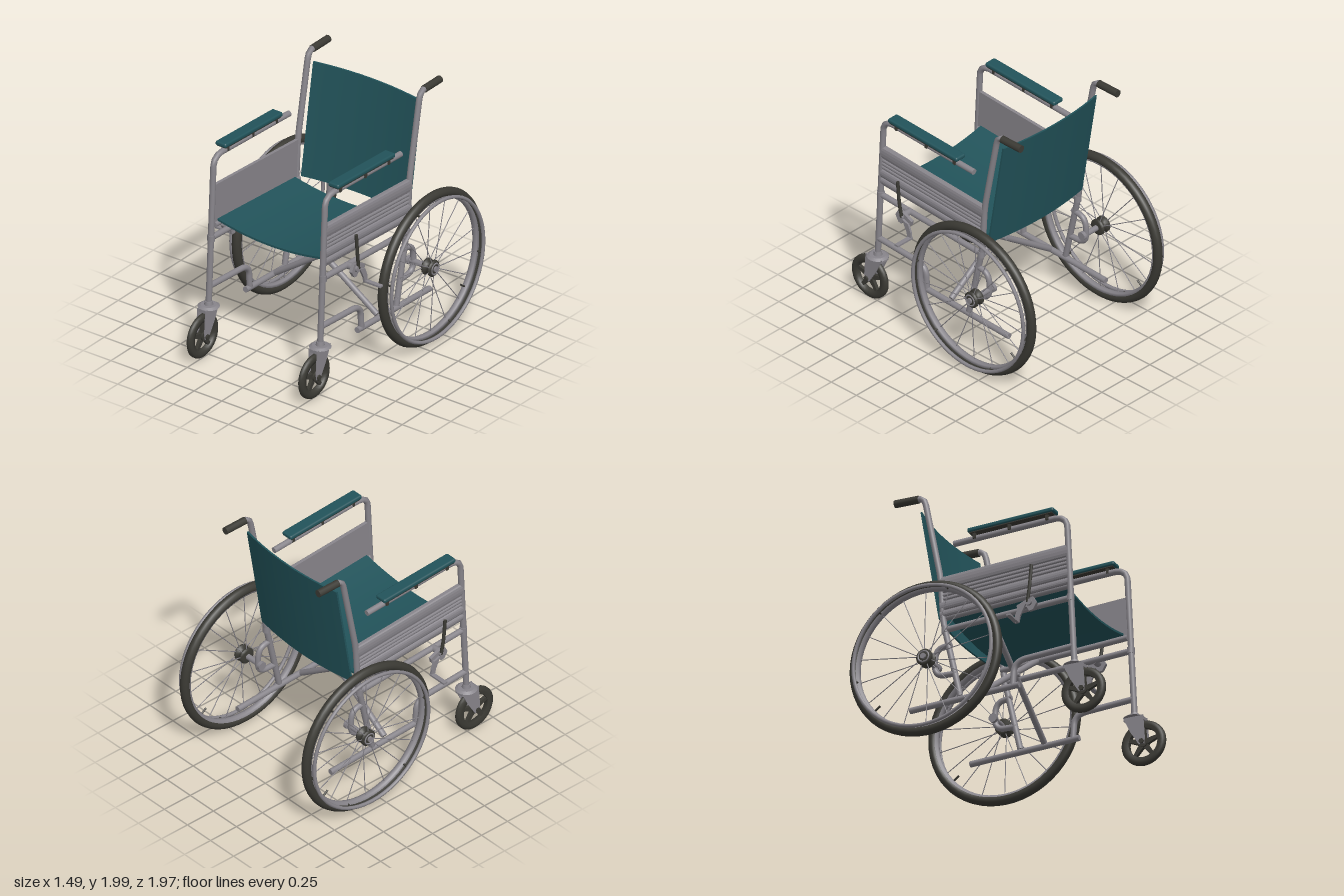
import * as THREE from 'three';
import { mergeGeometries } from 'three/addons/utils/BufferGeometryUtils.js';
import { RoundedBoxGeometry } from 'three/addons/geometries/RoundedBoxGeometry.js';

const material = (name, color) => Object.assign(new THREE.MeshStandardMaterial({ color }), { name });
const V = (x, y, z) => new THREE.Vector3(x, y, z);

export function createModel() {
  const model = new THREE.Group();
  model.name = 'wheelchair';
  const steel = material('steel grey', 0x88858b);
  const vinyl = material('teal vinyl', 0x22535a);
  const rubber = material('dark rubber', 0x3b3a34);

  const add = (name, geometry, mat, parent = model) => {
    const mesh = new THREE.Mesh(geometry, mat);
    mesh.name = name;
    parent.add(mesh);
    return mesh;
  };

  // Capped tube through points, with rounded corners
  function tube(points, radius = 0.023, bend = 0.06, sides = 12) {
    const path = new THREE.CurvePath();
    let from = points[0];
    for (let i = 1; i < points.length - 1; i++) {
      const p = points[i];
      const toward = (q) => {
        const d = q.clone().sub(p);
        return p.clone().add(d.setLength(Math.min(bend, d.length() * 0.45)));
      };
      const a = toward(points[i - 1]), b = toward(points[i + 1]);
      path.add(new THREE.LineCurve3(from, a));
      path.add(new THREE.QuadraticBezierCurve3(a, p, b));
      from = b;
    }
    const last = points[points.length - 1];
    path.add(new THREE.LineCurve3(from, last));
    const cap = (at, next) => {
      const o = new THREE.Object3D();
      o.position.copy(at);
      o.lookAt(at.clone().multiplyScalar(2).sub(next));
      o.updateMatrix();
      return new THREE.CircleGeometry(radius, sides).applyMatrix4(o.matrix);
    };
    return mergeGeometries([
      new THREE.TubeGeometry(path, points.length > 2 ? 48 : 1, radius, sides),
      cap(points[0], points[1]), cap(last, points[points.length - 2]),
    ]);
  }

  // Flat plate from a [z, y] outline, centred on x
  function plate(outline, thickness, x) {
    const shape = new THREE.Shape(outline.map(([z, y]) => new THREE.Vector2(z, y)));
    return new THREE.ExtrudeGeometry(shape, { depth: thickness, bevelEnabled: false })
      .translate(0, 0, -thickness / 2).rotateY(-Math.PI / 2).translate(x, 0, 0);
  }

  // Ring turned around the x axis from [radius, x] points
  const ring = (profile, segments = 48) => new THREE.LatheGeometry(
    profile.map(([r, x]) => new THREE.Vector2(r, x)), segments).rotateZ(-Math.PI / 2);
  const disc = (r, width, sides = 24) => new THREE.CylinderGeometry(r, r, width, sides).rotateZ(Math.PI / 2);

  // Cloth sheet: a box whose vertices are moved by a rule
  function sheet(w, h, d, segs, rule) {
    const g = new THREE.BoxGeometry(w, h, d, ...segs);
    const p = g.attributes.position, v = V(0, 0, 0);
    for (let i = 0; i < p.count; i++) {
      rule(v.fromBufferAttribute(p, i));
      p.setXYZ(i, v.x, v.y, v.z);
    }
    g.computeVertexNormals();
    return g;
  }
  const sag = (x) => 1 - (x / 0.485) ** 2;
  add('seat', sheet(0.97, 0.016, 0.93, [16, 1, 4], (v) => {
    v.z += 0.195;
    v.y += 1.034 + 0.07 * v.z - 0.055 * sag(v.x);
  }), vinyl);
  add('backrest', sheet(0.97, 0.875, 0.014, [16, 4, 1], (v) => {
    v.y += 1.4375;
    v.z -= 0.345 + 0.145 * (v.y - 1) / 0.875 + 0.048 * sag(v.x);
  }), vinyl);

  // Large wheel built around its own centre, s gives the outward direction
  function driveWheel(s) {
    const wheel = new THREE.Group();
    wheel.name = s > 0 ? 'leftDriveWheel' : 'rightDriveWheel';
    wheel.position.set(s * 0.658, 0.615, -0.37);
    add('tyre', new THREE.TorusGeometry(0.57, 0.036, 12, 56).rotateY(Math.PI / 2), rubber, wheel);
    add('rim', ring([[0.55, -0.028], [0.53, -0.02], [0.524, 0], [0.53, 0.02], [0.55, 0.028],
      [0.56, 0], [0.55, -0.028]].reverse(), 56), steel, wheel).material.side = THREE.DoubleSide;
    add('handRim', new THREE.TorusGeometry(0.55, 0.014, 8, 56).rotateY(Math.PI / 2).translate(s * 0.065, 0, 0), steel, wheel);
    const spokes = [], studs = [];
    for (let i = 0; i < 18; i++) {
      const a = (i + 0.5) / 18 * Math.PI * 2, c = Math.cos(a), n = Math.sin(a);
      spokes.push(tube([V(i % 2 ? 0.03 : -0.03, n * 0.04, c * 0.04), V(0, n * 0.53, c * 0.53)], 0.0035, 0, 5));
      if (i % 3 === 0) studs.push(tube([V(0, n * 0.54, c * 0.54), V(s * 0.065, n * 0.55, c * 0.55)], 0.008, 0, 6));
    }
    add('spokes', mergeGeometries(spokes), steel, wheel);
    add('handRimStuds', mergeGeometries(studs), rubber, wheel);
    add('hub', ring([[0, -0.045], [0.05, -0.045], [0.063, -0.035], [0.063, -0.02], [0.04, -0.012],
      [0.04, 0.012], [0.063, 0.02], [0.063, 0.035], [0.05, 0.045], [0, 0.045]], 20), rubber, wheel);
    add('hubRing', new THREE.TorusGeometry(0.042, 0.006, 6, 20).rotateY(Math.PI / 2).translate(s * 0.045, 0, 0), steel, wheel);
    add('hubCap', disc(0.022, 0.018, 12).translate(s * 0.05, 0, 0), steel, wheel);
    add('valve', tube([V(0, -0.335, -0.405), V(0, -0.305, -0.365)], 0.008, 0, 6), rubber, wheel);
    model.add(wheel);
  }

  // Small swivelling front wheel with its fork
  function caster(s) {
    const group = new THREE.Group();
    group.name = s > 0 ? 'leftCaster' : 'rightCaster';
    group.position.x = s * 0.503;
    const at = (g) => g.translate(0, 0.192, 0.815);
    add('casterTyre', at(ring([[0.115, -0.018], [0.14, -0.024], [0.16, -0.022], [0.174, -0.01], [0.174, 0.01],
      [0.16, 0.022], [0.14, 0.024], [0.115, 0.018], [0.115, -0.018]], 32)), rubber, group);
    const arms = [];
    for (let i = 0; i < 5; i++) {
      arms.push(plate([[-0.022, 0.02], [0.022, 0.02], [0.012, 0.122], [-0.012, 0.122]], 0.026, 0)
        .rotateX(i / 5 * Math.PI * 2));
    }
    add('casterSpokes', at(mergeGeometries(arms)), rubber, group);
    add('casterHub', at(disc(0.036, 0.05, 16)), rubber, group);
    add('casterAxle', at(disc(0.012, 0.1, 10)), steel, group);
    for (const k of [-1, 1]) {
      add('forkPlate', plate([[0.825, 0.405], [0.665, 0.405], [0.725, 0.28], [0.79, 0.175], [0.833, 0.175], [0.838, 0.22]],
        0.008, k * 0.036), steel, group);
      add('axleNut', at(disc(0.02, 0.014, 6).translate(k * 0.047, 0, 0)), rubber, group);
    }
    add('forkCrown', new THREE.BoxGeometry(0.075, 0.025, 0.15).translate(0, 0.39, 0.745), steel, group);
    add('forkCollar', new THREE.CylinderGeometry(0.06, 0.082, 0.014, 20).translate(0, 0.408, 0.74), steel, group);
    add('stemBearing', new THREE.CylinderGeometry(0.028, 0.034, 0.03, 16).translate(0, 0.428, 0.74), steel, group);
    model.add(group);
  }

  // Corrugated side panel, flat on the inside, sheared to follow the seat slope
  function sidePanel(s) {
    const shape = new THREE.Shape().moveTo(s * 0.487, 1.33).lineTo(s * 0.512, 1.33);
    for (const [top, bottom, bulge] of [[0, 0.1, 0.02], [0.105, 0.13, 0.012], [0.135, 0.16, 0.012],
      [0.165, 0.19, 0.012], [0.195, 0.265, 0.022], [0.27, 0.32, 0.02]]) {
      const x = s * (0.512 + bulge);
      shape.lineTo(s * 0.512, 1.33 - top);
      shape.bezierCurveTo(x, 1.33 - top, x, 1.33 - bottom, s * 0.512, 1.33 - bottom);
    }
    shape.lineTo(s * 0.487, 1.01);
    const g = new THREE.ExtrudeGeometry(shape, { depth: 1.02, bevelEnabled: false, curveSegments: 6 }).translate(0, 0, -0.325);
    const p = g.attributes.position;
    for (let i = 0; i < p.count; i++) p.setY(i, p.getY(i) + 0.062 * p.getZ(i));
    g.computeVertexNormals();
    add('sidePanel', g, steel);
  }

  for (const s of [1, -1]) {
    const P = (x, y, z) => V(s * x, y, z);
    const side = (...zy) => zy.map(([z, y]) => P(0.503, y, z));
    driveWheel(s);
    caster(s);
    sidePanel(s);

    // Side frame
    add('frontPostAndArmTube', tube(side([0.74, 0.42], [0.69, 1.4], [0.68, 1.605], [-0.22, 1.56]), 0.023, 0.11), steel);
    add('backPost', tube(side([-0.17, 0.34], [-0.305, 0.95], [-0.325, 1.3], [-0.455, 1.97], [-0.52, 1.97]), 0.023, 0.08), steel);
    add('pushGrip', tube(side([-0.5, 1.97], [-0.69, 1.97]), 0.029), rubber);
    add('seatRail', tube([P(0.49, 1.05, 0.69), P(0.49, 0.99, -0.32)], 0.022), steel);
    add('middleRail', tube(side([0.71, 0.947], [-0.29, 0.89])), steel);
    add('bottomRail', tube(side([0.3, 0.34], [-0.57, 0.303])), steel);
    add('footStrut', tube(side([0.73, 0.56], [0.26, 0.53], [0.25, 0.34]), 0.023, 0.1), steel);
    add('axleLoop', tube(side([-0.24, 0.77], [-0.37, 0.745], [-0.375, 0.535], [-0.2, 0.53]), 0.022, 0.09), steel);
    add('axle', tube([P(0.46, 0.615, -0.37), P(0.63, 0.615, -0.37)], 0.022), steel);
    add('axleBlock', disc(0.034, 0.025, 12).translate(s * 0.468, 0.615, -0.37), steel);
    for (const [z, y] of [[0.71, 0.947], [-0.29, 0.89]]) {
      add('railCollar', new THREE.CylinderGeometry(0.029, 0.029, 0.05, 12).translate(s * 0.503, y, z), steel);
    }

    // Armrest
    const arm = new THREE.Group();
    arm.name = 'armrest';
    arm.position.set(s * 0.508, 1.64, 0.25);
    arm.rotation.x = -0.05;
    add('armPad', new RoundedBoxGeometry(0.097, 0.036, 0.69, 3, 0.014), vinyl, arm);
    add('armPadBase', new THREE.BoxGeometry(0.08, 0.008, 0.66).translate(0, -0.02, 0), rubber, arm);
    for (const z of [0.28, -0.02, -0.3]) {
      add('armBracket', new THREE.BoxGeometry(0.056, 0.05, 0.022).translate(0, -0.04, z), rubber, arm);
    }
    model.add(arm);

    // Brake
    add('brakeClamp', tube([P(0.5, 0.93, 0.42), P(0.61, 0.93, 0.42)], 0.026), steel);
    add('brakePlate', plate([[0.48, 0.92], [0.45, 0.975], [0.4, 0.96], [0.32, 0.925], [0.33, 0.885], [0.4, 0.9], [0.42, 0.865], [0.45, 0.87]],
      0.025, s * 0.58), steel);
    add('brakeArm', plate([[0.4, 0.92], [0.34, 0.9], [0.315, 0.84], [0.31, 0.78], [0.345, 0.785], [0.355, 0.83]], 0.016, s * 0.6), steel);
    add('brakeShoe', new THREE.BoxGeometry(0.155, 0.014, 0.035).translate(s * 0.667, 0.79, 0.325), steel);
    add('brakeLever', tube([P(0.6, 0.93, 0.41), P(0.605, 1.05, 0.43), P(0.605, 1.22, 0.445)], 0.013, 0.04, 8), rubber);

    // Folding cross brace
    add('crossBrace', tube([P(-0.48, 1.005, s * 0.03), P(0.48, 0.345, s * 0.03)], 0.023), steel);
  }
  add('crossPivot', tube([V(0, 0.675, -0.065), V(0, 0.675, 0.065)], 0.014), steel);
  return model;
}
